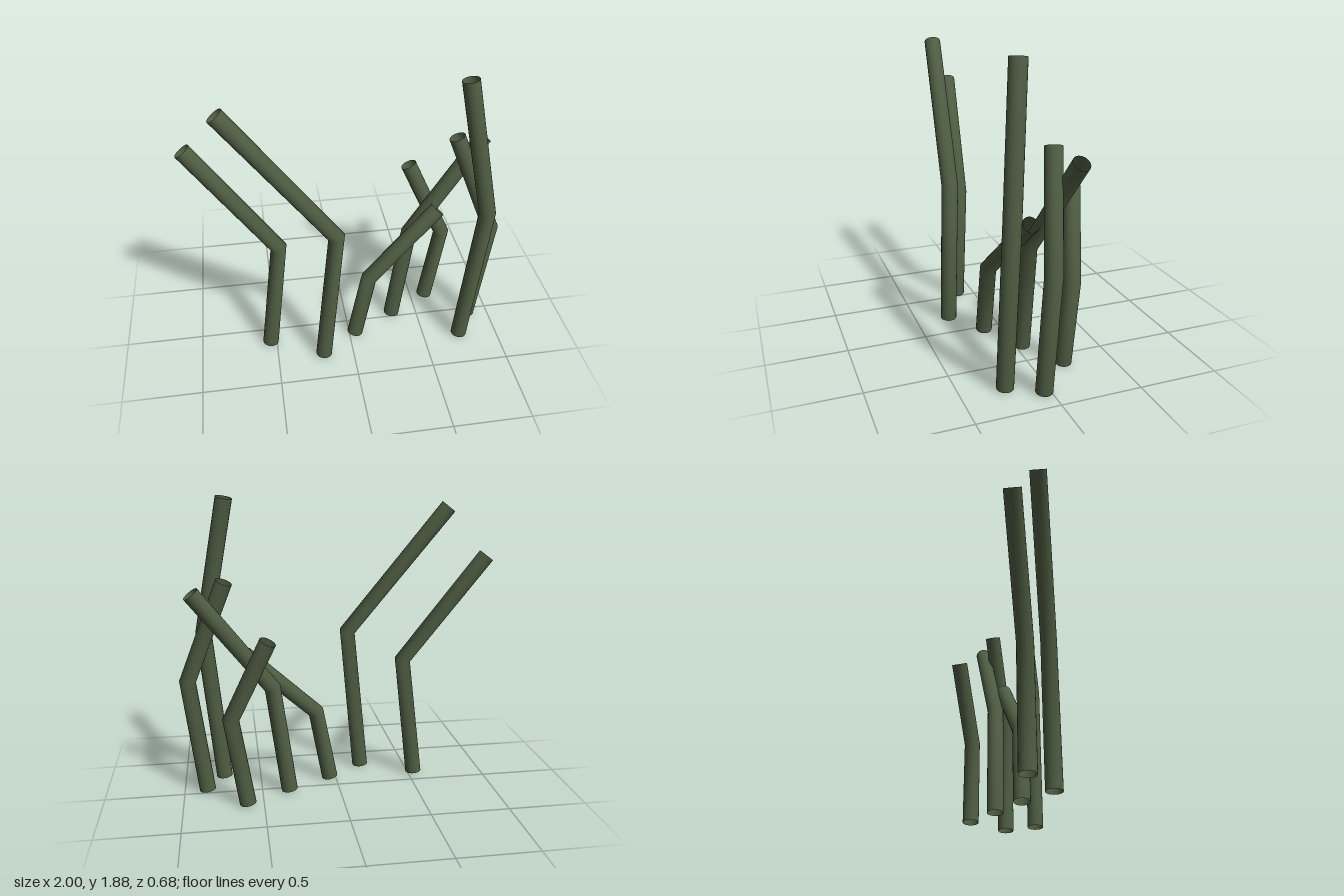
import * as THREE from 'three';

const RADIUS = 0.052;
const SIDES = 20;

// Two straight runs meeting at a knee; the ring at the knee bisects the bend.
class BentPath extends THREE.Curve {
  constructor(base, knee, tip) {
    super();
    this.points = [base, knee, tip].map((p) => new THREE.Vector3(...p));
  }
  getPoint(t, target = new THREE.Vector3()) {
    const [a, b, c] = this.points;
    return t <= 0.5 ? target.lerpVectors(a, b, t * 2) : target.lerpVectors(b, c, t * 2 - 1);
  }
  getPointAt(t, target) {
    return this.getPoint(t, target);
  }
  getTangentAt(t, target = new THREE.Vector3()) {
    const [a, b, c] = this.points;
    const lower = b.clone().sub(a).normalize();
    const upper = c.clone().sub(b).normalize();
    if (t < 0.49) return target.copy(lower);
    if (t > 0.51) return target.copy(upper);
    return target.copy(lower).add(upper).normalize();
  }
}

// Base, knee and tip of each stalk
const STALKS = [
  [[-0.54, 0.01, 0.12], [-0.447, 0.81, 0.12], [-0.957, 1.5, 0.035]],
  [[-0.197, 0.01, 0.285], [-0.105, 0.975, 0.285], [-0.747, 1.795, 0.195]],
  [[0.04, 0.01, 0.115], [0.13, 0.48, 0.115], [0.585, 0.915, 0.02]],
  [[0.325, 0.01, -0.038], [0.42, 0.71, -0.038], [0.893, 1.34, -0.127]],
  [[0.6, 0.01, -0.195], [0.688, 0.57, -0.195], [0.457, 1.075, -0.288]],
  [[0.742, 0.01, 0.235], [0.838, 1.01, 0.235], [0.677, 1.873, 0.143]],
  [[0.853, 0.01, 0.04], [0.945, 0.75, 0.04], [0.697, 1.393, -0.057]],
];

export function createModel() {
  const group = new THREE.Group();
  group.name = 'bentStalks';

  const green = new THREE.MeshStandardMaterial({ color: 0x4f5d43, side: THREE.DoubleSide });
  green.name = 'mossGreen';

  // Hollow stalks, open at both ends
  STALKS.forEach((points, i) => {
    const geometry = new THREE.TubeGeometry(new BentPath(...points), 2, RADIUS, SIDES, false);
    const stalk = new THREE.Mesh(geometry, green);
    stalk.name = `stalk${i + 1}`;
    group.add(stalk);
  });

  return group;
}
